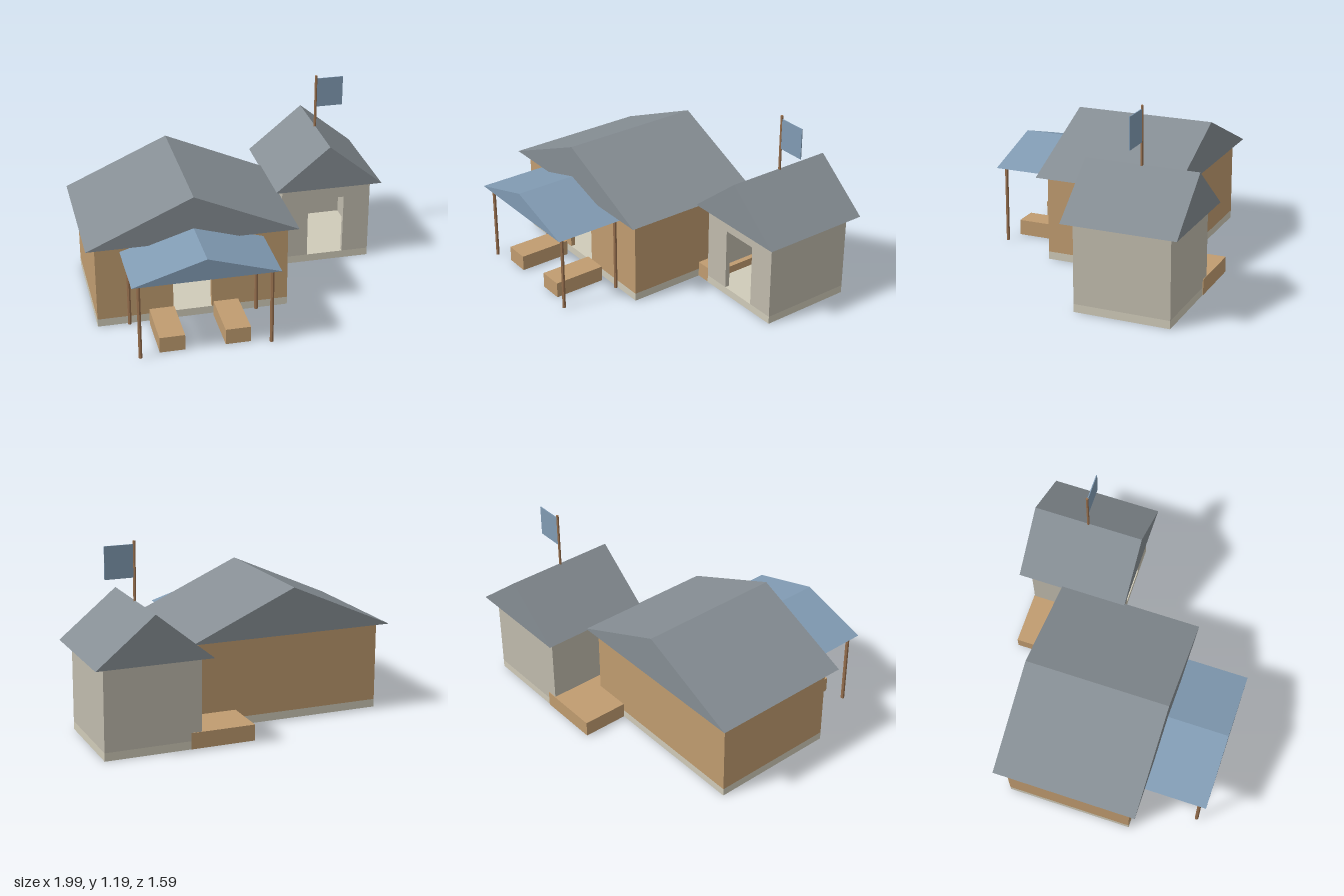
import * as THREE from 'three';

const mat = (color) => new THREE.MeshStandardMaterial({ color, flatShading: true });
const timber = mat(0xc09c70), plaster = mat(0xc0bbad), slab = mat(0xd0cbb9);
const slate = mat(0x868e94), blue = mat(0x819bb3), wood = mat(0x9a7250);

function add(parent, name, geometry, material) {
  const mesh = new THREE.Mesh(geometry, material);
  mesh.name = name;
  parent.add(mesh);
  return mesh;
}

// Box given by its limits on each axis
function box(parent, name, [x0, x1], [y0, y1], [z0, z1], material) {
  const mesh = add(parent, name, new THREE.BoxGeometry(x1 - x0, y1 - y0, z1 - z0), material);
  mesh.position.set((x0 + x1) / 2, (y0 + y1) / 2, (z0 + z1) / 2);
  return mesh;
}

// Solid gable roof with its ridge along z
function gable(parent, name, [x0, x1], [y0, y1], [z0, z1], material) {
  const shape = new THREE.Shape([
    new THREE.Vector2(x0, y0), new THREE.Vector2(x1, y0), new THREE.Vector2((x0 + x1) / 2, y1),
  ]);
  const geometry = new THREE.ExtrudeGeometry(shape, { depth: z1 - z0, bevelEnabled: false });
  add(parent, name, geometry, material).position.z = z0;
}

// Upright six-sided pole
function pole(parent, name, x, z, [y0, y1], radius) {
  const mesh = add(parent, name, new THREE.CylinderGeometry(radius, radius, y1 - y0, 6), wood);
  mesh.position.set(x, (y0 + y1) / 2, z);
}

// Hollow house: floor slab, four walls with a front doorway, overhanging roof
function house(parent, name, [x0, x1], [z0, z1], door, eave, material) {
  const group = new THREE.Group();
  group.name = name;
  parent.add(group);
  const t = 0.03, floor = 0.05, top = 0.55, lintel = 0.45;
  box(group, 'floorSlab', [x0, x1], [0, floor], [z0, z1], slab);
  const outline = [
    [x0, floor], [door[0], floor], [door[0], lintel], [door[1], lintel],
    [door[1], floor], [x1, floor], [x1, top], [x0, top],
  ].map(([x, y]) => new THREE.Vector2(x, y));
  const front = new THREE.ExtrudeGeometry(new THREE.Shape(outline), { depth: t, bevelEnabled: false });
  add(group, 'frontWall', front, material).position.z = z1 - t;
  box(group, 'backWall', [x0, x1], [floor, top], [z0, z0 + t], material);
  box(group, 'rightWall', [x0, x0 + t], [floor, top], [z0 + t, z1 - t], material);
  box(group, 'leftWall', [x1 - t, x1], [floor, top], [z0 + t, z1 - t], material);
  gable(group, 'roof', [x0 - eave, x1 + eave], [top, 0.84], [z0 - 0.055, z1 + 0.055], slate);
}

export function createModel() {
  const model = new THREE.Group();
  model.name = 'buildings';

  house(model, 'mainHouse', [-0.94, 0.25], [-0.45, 0.352], [-0.47, -0.23], 0.058, timber);
  house(model, 'smallHouse', [0.345, 0.935], [-0.738, -0.142], [0.52, 0.76], 0.06, plaster);

  // Low platform joining the two houses
  box(model, 'platform', [0.01, 0.41], [0.001, 0.1], [-0.742, -0.144], timber);

  // Porch with four posts and a bench on each side of the door
  const porch = new THREE.Group();
  porch.name = 'porch';
  model.add(porch);
  gable(porch, 'porchRoof', [-0.79, 0.095], [0.5, 0.635], [0.352, 0.795], blue);
  for (const side of [-1, 1]) {
    const centre = -0.348;
    for (const z of [0.361, 0.748]) pole(porch, 'porchPost', centre + side * 0.397, z, [0, 0.5], 0.0118);
    const bench = box(porch, 'bench', [-0.0775, 0.0775], [0, 0.1], [0.383, 0.72], timber);
    bench.position.x = centre + side * 0.2;
  }

  // Flag on the small house ridge
  pole(model, 'flagPole', 0.64, -0.44, [0.8, 1.19], 0.0085);
  box(model, 'flag', [0.643, 0.82], [0.975, 1.17], [-0.443, -0.437], blue);
  return model;
}
